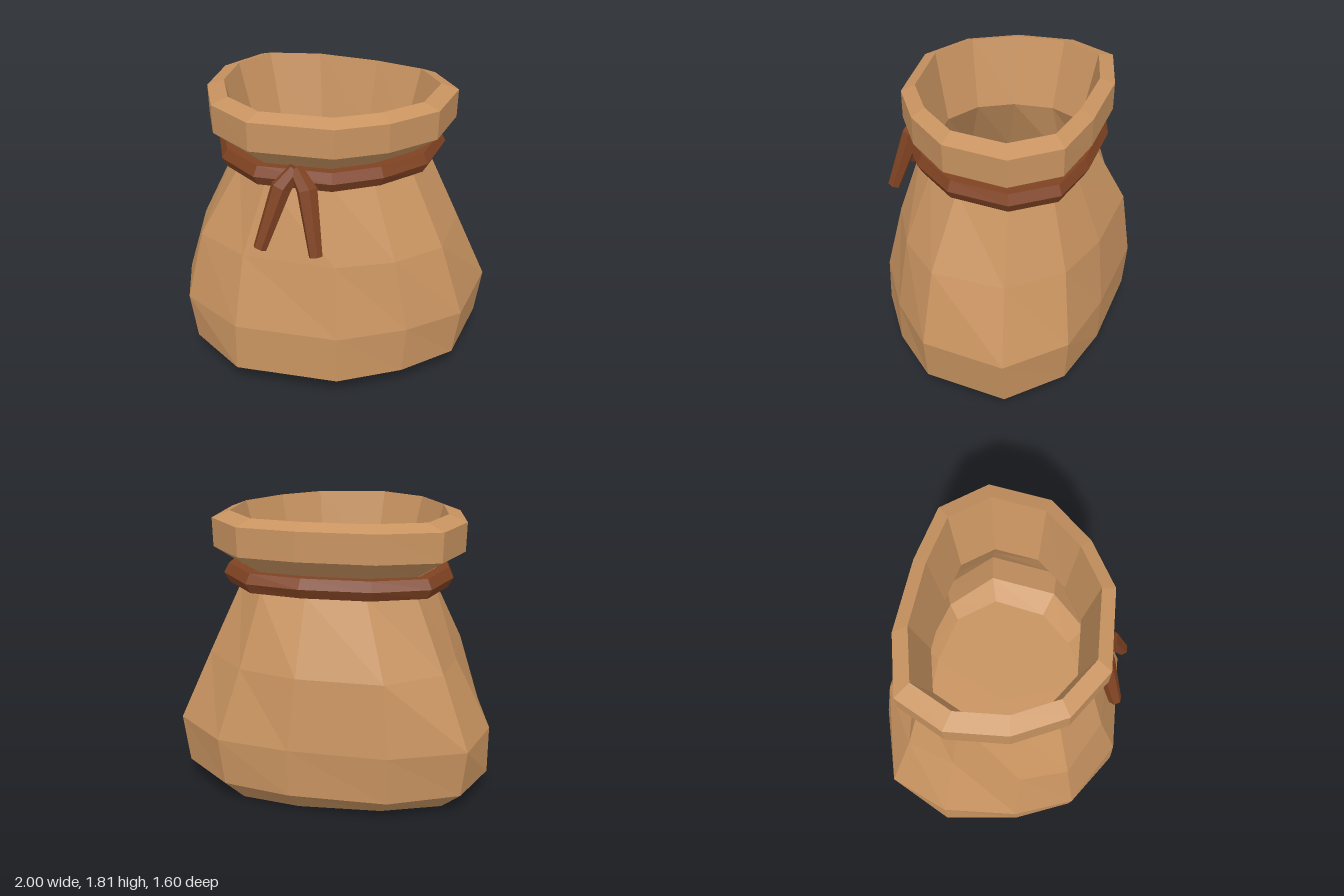
import * as THREE from 'three';

const V = (x, y, z) => new THREE.Vector3(x, y, z);

// Irregular twelve-sided outlines [x, z] of the sack, from the ground up
const BASE = [[-0.33, -0.62], [0.19, -0.61], [0.56, -0.52], [0.77, -0.24], [0.71, 0.16], [0.5, 0.4],
  [0.18, 0.58], [-0.32, 0.63], [-0.62, 0.45], [-0.78, 0.17], [-0.86, -0.27], [-0.71, -0.52]];
const FOOT = [[-0.37, -0.78], [0.24, -0.73], [0.66, -0.61], [0.96, -0.3], [0.9, 0.23], [0.63, 0.52],
  [0.27, 0.75], [-0.38, 0.8], [-0.76, 0.55], [-0.92, 0.2], [-1, -0.28], [-0.82, -0.63]];
const BELLY = [[-0.37, -0.8], [0.24, -0.74], [0.69, -0.63], [1, -0.3], [0.94, 0.23], [0.65, 0.51],
  [0.27, 0.74], [-0.38, 0.79], [-0.8, 0.56], [-0.95, 0.2], [-1, -0.28], [-0.85, -0.66]];
const WAIST = [[-0.34, -0.74], [0.19, -0.69], [0.55, -0.56], [0.8, -0.25], [0.79, 0.21], [0.55, 0.47],
  [0.22, 0.64], [-0.36, 0.66], [-0.71, 0.49], [-0.81, 0.2], [-0.77, -0.24], [-0.69, -0.54]];
const MOUTH = [[-0.28, -0.63], [0.19, -0.6], [0.55, -0.52], [0.755, -0.25], [0.71, 0.14], [0.48, 0.41],
  [0.2, 0.59], [-0.31, 0.63], [-0.61, 0.44], [-0.77, 0.13], [-0.803, -0.24], [-0.66, -0.54]];

// One ring of the sack: a scaled outline at height y
const ring = (outline, y, sx = 1, sz = 1) => outline.map(([x, z]) => V(x * sx, y, z * sz));

// Faceted skin through a list of rings, with optional end caps
function loft(rings, capStart, capEnd) {
  const pos = [];
  const tri = (...pts) => pts.forEach((p) => pos.push(p.x, p.y, p.z));
  const n = rings[0].length;
  for (let r = 0; r < rings.length - 1; r++) {
    for (let i = 0; i < n; i++) {
      const j = (i + 1) % n;
      const [a, b, c, d] = [rings[r][i], rings[r][j], rings[r + 1][j], rings[r + 1][i]];
      tri(a, d, c);
      tri(a, c, b);
    }
  }
  const cap = (pts, flip) => {
    const mid = pts.reduce((s, p) => s.add(p), V(0, 0, 0)).divideScalar(n);
    pts.forEach((p, i) => {
      const q = pts[(i + 1) % n];
      if (flip) tri(mid, q, p);
      else tri(mid, p, q);
    });
  };
  if (capStart) cap(rings[0], false);
  if (capEnd) cap(rings[rings.length - 1], true);
  const geo = new THREE.BufferGeometry();
  geo.setAttribute('position', new THREE.Float32BufferAttribute(pos, 3));
  geo.computeVertexNormals();
  return geo;
}

// Tapered six-sided strand along a short path
function strand(path, radii) {
  const rings = path.map((p, k) => {
    const dir = path[Math.min(k + 1, path.length - 1)].clone()
      .sub(path[Math.max(k - 1, 0)]).normalize();
    const u = V(1, 0, 0).addScaledVector(dir, -dir.x).normalize();
    const v = u.clone().cross(dir);
    return Array.from({ length: 6 }, (_, i) => {
      const a = (i * Math.PI) / 3;
      return p.clone().addScaledVector(u, Math.cos(a) * radii[k])
        .addScaledVector(v, Math.sin(a) * radii[k]);
    });
  });
  return loft(rings, true, true);
}

export function createModel() {
  const group = new THREE.Group();
  const cloth = new THREE.MeshStandardMaterial({ color: 0xc89360, flatShading: true });
  cloth.name = 'tan cloth';
  const cord = new THREE.MeshStandardMaterial({ color: 0x7f4222, flatShading: true });
  cord.name = 'brown cord';
  const add = (name, geo, mat) => {
    const mesh = new THREE.Mesh(geo, mat);
    mesh.name = name;
    group.add(mesh);
  };

  // Sack: outer skin up to the rolled mouth, then the lining down to the floor
  add('sack', loft([
    ring(BASE, 0),
    ring(FOOT, 0.14),
    ring(BELLY, 0.45),
    ring(WAIST, 0.9),
    ring(MOUTH, 1.36, 0.78, 0.84),
    ring(MOUTH, 1.48, 0.78, 0.84),
    ring(MOUTH, 1.59, 0.995, 1),
    ring(MOUTH, 1.77),
    ring(MOUTH, 1.81, 0.86, 0.86),
    ring(MOUTH, 1.36, 0.71, 0.72),
    ring(WAIST, 0.9, 0.92, 0.92),
    ring(BELLY, 0.45, 0.92, 0.92),
    ring(FOOT, 0.16, 0.92, 0.92),
    ring(BASE, 0.07, 0.95, 0.95),
  ], true, true), cloth);

  // Cord around the neck, hexagonal in section
  const centre = ring(MOUTH, 1.423, 0.835, 0.88);
  const cordRings = Array.from({ length: 7 }, (_, k) => {
    const a = (k * Math.PI) / 3;
    return centre.map((p) => {
      const out = V(p.x, 0, p.z).normalize();
      return p.clone().addScaledVector(out, Math.cos(a) * 0.066)
        .add(V(0, Math.sin(a) * 0.07, 0));
    });
  });
  add('neckCord', loft(cordRings), cord);

  // Two loose cord ends hanging from the knot
  for (const [name, side] of [['leftCordEnd', 1], ['rightCordEnd', -1]]) {
    const path = [V(-0.04, 1.485, 0.56), V(-0.037 + side * 0.08, 1.38, 0.605),
      V(-0.045 + side * 0.175, 1.01, 0.72)];
    add(name, strand(path, [0.045, 0.064, 0.042]), cord);
  }
  return group;
}
